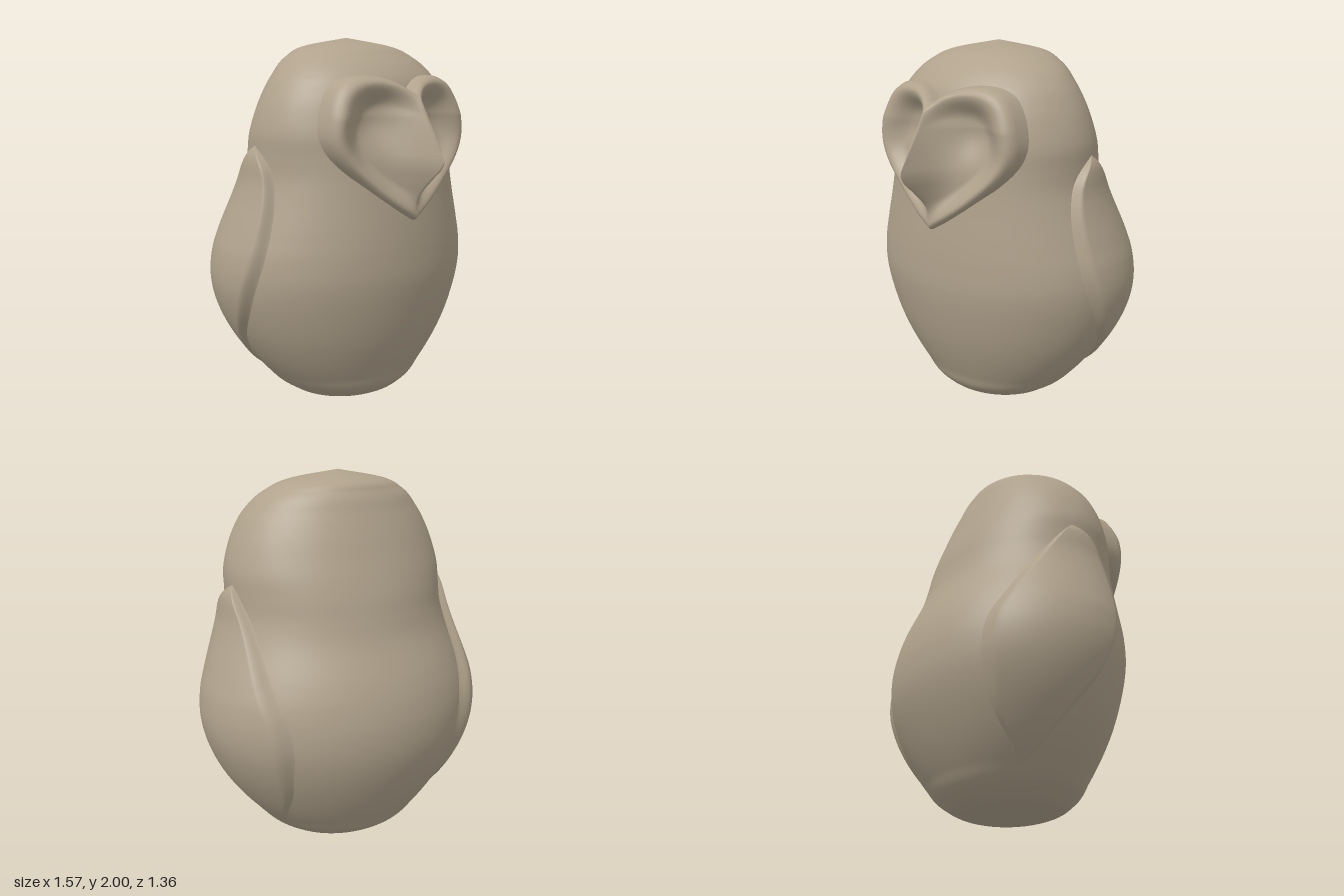
import * as THREE from 'three';

const { smoothstep, lerp } = THREE.MathUtils;
const feather = new THREE.MeshStandardMaterial({ color: 0xb0a28c });
feather.name = 'warm taupe';

// Smooth interpolation of table rows: [y, value, value, ...]
function profile(rows) {
  const n = rows[0].length - 1;
  const interp = new THREE.CubicInterpolant(rows.map(r => r[0]), rows.flatMap(r => r.slice(1)), n, new Array(n));
  return y => Array.from(interp.evaluate(y));
}

// Surface grid: point(u, v) with u and v in 0..1; wrap joins the u ends
function grid(point, nu, nv, wrap) {
  const pos = [], idx = [], cols = wrap ? nu : nu + 1;
  for (let j = 0; j <= nv; j++)
    for (let i = 0; i < cols; i++) pos.push(...point(i / nu, j / nv));
  for (let j = 0; j < nv; j++)
    for (let i = 0; i < nu; i++) {
      const i2 = (i + 1) % cols;
      const a = j * cols + i, b = j * cols + i2, c = a + cols, d = b + cols;
      idx.push(a, c, b, b, c, d);
    }
  const g = new THREE.BufferGeometry();
  g.setAttribute('position', new THREE.Float32BufferAttribute(pos, 3));
  g.setIndex(idx);
  g.computeVertexNormals();
  return g;
}

// Body sections: y, half width, front z, back z
const bodyAt = profile([
  [0, 0, -0.07, -0.07], [0.04, 0.24, 0.14, -0.28], [0.1, 0.37, 0.245, -0.41],
  [0.2, 0.48, 0.3, -0.49], [0.4, 0.625, 0.385, -0.6], [0.6, 0.71, 0.44, -0.668],
  [0.76, 0.738, 0.467, -0.68], [0.9, 0.725, 0.47, -0.66], [1.0, 0.695, 0.467, -0.63],
  [1.2, 0.628, 0.455, -0.548], [1.3, 0.604, 0.45, -0.522], [1.4, 0.6, 0.442, -0.5],
  [1.5, 0.6, 0.433, -0.47], [1.6, 0.578, 0.415, -0.435], [1.7, 0.54, 0.39, -0.4],
  [1.8, 0.48, 0.345, -0.36], [1.9, 0.375, 0.24, -0.315], [1.955, 0.25, 0.14, -0.26],
  [2, 0, -0.07, -0.07],
]);

// Point on the body at height y and angle a, pushed out by an offset
function bodyPoint(y, a, out = 0) {
  const [w, f, b] = bodyAt(y);
  return [(w + out) * Math.cos(a), y, (f + b) / 2 + ((f - b) / 2 + out) * Math.sin(a)];
}

// Heart outline of the face, from the chin tip up to the notch
const FACE_Y = 1.42;
const heart = new THREE.SplineCurve([
  [0, 1.08], [0.1, 1.135], [0.23, 1.23], [0.38, 1.37], [0.44, 1.49], [0.425, 1.62],
  [0.37, 1.73], [0.29, 1.78], [0.18, 1.79], [0.08, 1.765], [0, 1.71],
].map(p => new THREE.Vector2(...p))).getPoints(200).map(p => ({
  angle: Math.atan2(Math.max(p.x, 0), FACE_Y - p.y), r: Math.hypot(p.x, p.y - FACE_Y),
}));

function heartRadius(angle) {
  let k = 1;
  while (k < heart.length - 1 && heart[k].angle < angle) k++;
  const p = heart[k - 1], q = heart[k];
  return lerp(p.r, q.r, THREE.MathUtils.clamp((angle - p.angle) / (q.angle - p.angle || 1), 0, 1));
}

// Beak ridge seen from the side: y, z
const ridgeAt = profile([
  [1.04, 0.495], [1.1, 0.495], [1.17, 0.5], [1.22, 0.53], [1.29, 0.6], [1.35, 0.665],
  [1.39, 0.682], [1.43, 0.664], [1.6, 0.565], [1.72, 0.495], [1.8, 0.45],
]);

// Face relief: raised rim, hollow discs, eye sockets and the beak ridge
function faceZ(x, y, s) {
  const ax = Math.abs(x);
  let z = 0.5 - 0.23 * ax - 0.25 * Math.max(0, y - 1.6);
  z -= 0.065 * (1 - smoothstep(s, 0.6, 0.93));
  z -= 0.05 * Math.exp(-((ax - 0.19) ** 2 + (y - 1.57) ** 2) / 0.016);
  z -= 0.02 * smoothstep(s, 0.95, 1);
  return lerp(z, ridgeAt(y)[0], Math.exp(-ax / 0.05) * (1 - smoothstep(s, 0.9, 1) * 0.5));
}

function faceGeometry() {
  const rings = 32;
  return grid((u, v) => {
    const a = u * Math.PI * 2;
    const ring = Math.round(v * (rings + 2));
    const s = Math.min(ring / rings, 1);
    const r = heartRadius(a > Math.PI ? Math.PI * 2 - a : a);
    const x = Math.sin(a) * r * s, y = FACE_Y - Math.cos(a) * r * s;
    const z = faceZ(x, y, s);
    // the last two rings form the skirt that sinks into the head
    if (ring === rings + 1) return [x * 1.03, FACE_Y + (y - FACE_Y) * 1.03, z - 0.035];
    if (ring === rings + 2) return [x * 1.04, FACE_Y + (y - FACE_Y) * 1.04, 0.15];
    return [x, y, z];
  }, 160, rings + 2, true);
}

// Body and head in one surface, recessed behind the face
function bodyGeometry() {
  return grid((u, v) => {
    const y = 1 - Math.cos(v * Math.PI);
    const p = bodyPoint(y, u * Math.PI * 2);
    const s = Math.hypot(p[0], y - FACE_Y) / heartRadius(Math.atan2(Math.abs(p[0]), FACE_Y - y));
    if (p[2] > 0 && s < 0.88) p[2] = Math.min(p[2], 0.22);
    return p;
  }, 160, 160, true);
}

// Wing outline: y, front z, back z, thickness
const wingAt = profile([
  [0.18, -0.26, -0.29, 0], [0.25, -0.22, -0.34, 0.012], [0.4, -0.13, -0.455, 0.025],
  [0.58, 0, -0.53, 0.038], [0.7, 0.065, -0.55, 0.043], [0.85, 0.12, -0.525, 0.045],
  [1.0, 0.133, -0.435, 0.046], [1.24, 0.1, -0.26, 0.046], [1.36, 0.045, -0.165, 0.043],
  [1.42, -0.02, -0.11, 0.025], [1.45, -0.07, -0.075, 0],
]);

function wingGeometry(side) {
  return grid((u, v) => {
    const t = side > 0 ? u : 1 - u;
    const y = lerp(0.18, 1.45, v);
    const [zf, zb, thick] = wingAt(y);
    const [, f, b] = bodyAt(y);
    const sine = (lerp(zb, zf, t) - (f + b) / 2) / ((f - b) / 2);
    const edge = smoothstep(Math.min(t, 1 - t), 0, 0.11);
    const p = bodyPoint(y, Math.asin(THREE.MathUtils.clamp(sine, -1, 1)), thick * edge - 0.006 * (1 - edge));
    return [p[0] * side, p[1], p[2]];
  }, 48, 72, false);
}

export function createModel() {
  const owl = new THREE.Group();
  owl.name = 'owl';
  const add = (name, geometry) => {
    const mesh = new THREE.Mesh(geometry, feather);
    mesh.name = name;
    owl.add(mesh);
  };
  add('body', bodyGeometry());
  add('faceWithBeak', faceGeometry());
  add('leftWing', wingGeometry(1));
  add('rightWing', wingGeometry(-1));
  return owl;
}
